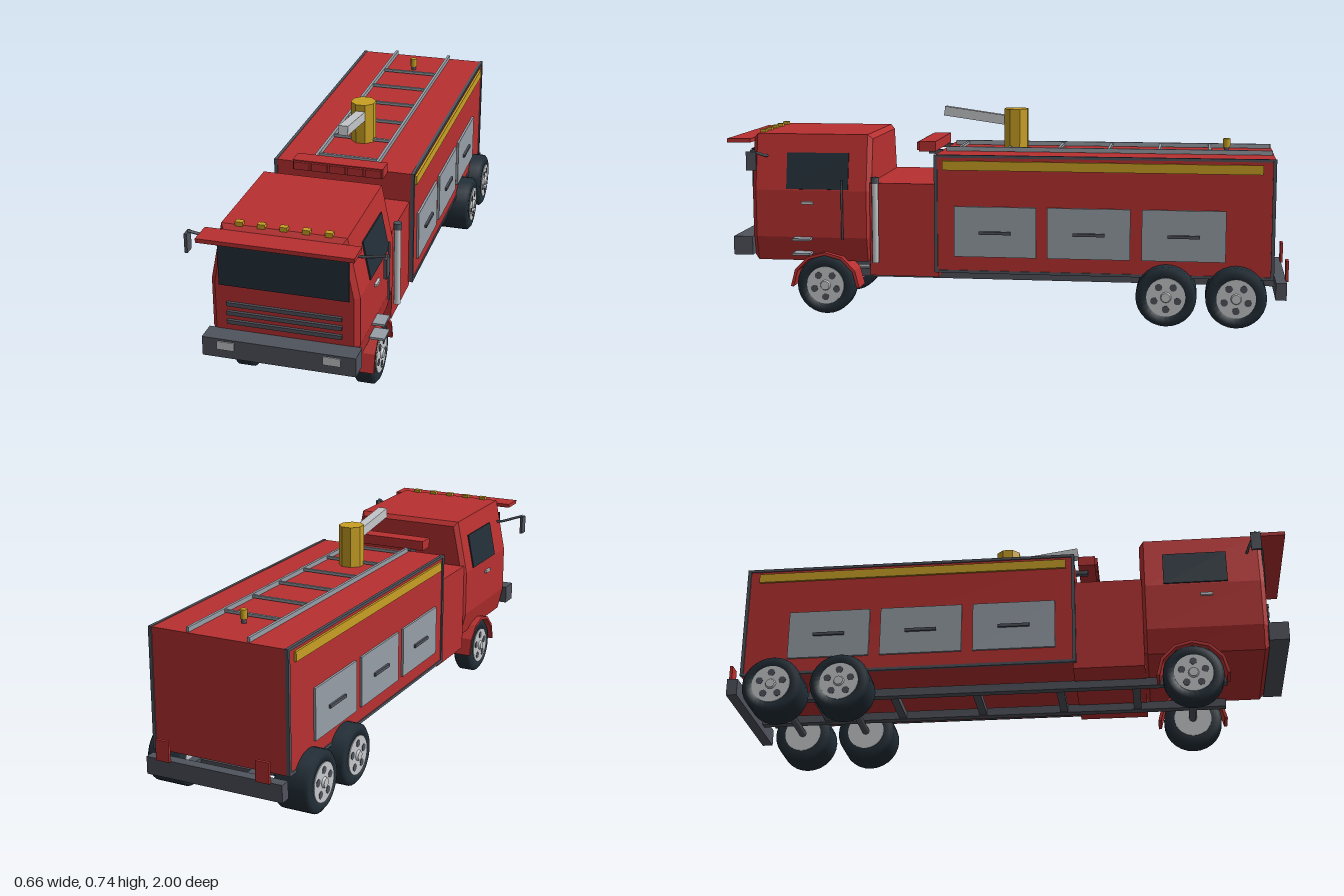
import * as THREE from 'three';

const mat = (name, color, side = THREE.FrontSide) => {
  const m = new THREE.MeshStandardMaterial({ color, side });
  m.name = name;
  return m;
};

export function createModel() {
  const red = mat('red paint', 0xb83030);
  const dark = mat('dark grey trim', 0x4f535c);
  const black = mat('rubber and glass', 0x222e37);
  const gold = mat('amber', 0xc9a024);
  const light = mat('light metal', 0xc4c7ca);
  const grey = mat('shutter grey', 0x979fa7);

  const truck = new THREE.Group();
  truck.name = 'fireTruck';

  const add = (name, geometry, material, parent = truck) => {
    const m = new THREE.Mesh(geometry, material);
    m.name = name;
    parent.add(m);
    return m;
  };
  // Box given by its extents on each axis
  const box = (name, material, [x0, x1], [y0, y1], [z0, z1], parent = truck) => {
    const m = add(name, new THREE.BoxGeometry(x1 - x0, y1 - y0, z1 - z0), material, parent);
    m.position.set((x0 + x1) / 2, (y0 + y1) / 2, (z0 + z1) / 2);
    return m;
  };
  // Box mirrored onto both sides
  const pair = (name, material, [x0, x1], y, z) => {
    box(name + 'Left', material, [x0, x1], y, z);
    box(name + 'Right', material, [-x1, -x0], y, z);
  };
  // Rod between two points
  const rod = (name, material, a, b, r) => {
    const p = new THREE.Vector3(...a), q = new THREE.Vector3(...b);
    const m = add(name, new THREE.CylinderGeometry(r, r, p.distanceTo(q), 8), material);
    m.position.copy(p).add(q).multiplyScalar(0.5);
    m.quaternion.setFromUnitVectors(new THREE.Vector3(0, 1, 0), q.sub(p).normalize());
    return m;
  };

  // Cab: bevelled extrusion with upper sides leaning in
  const section = new THREE.Shape([[-0.225, 0.192], [0.225, 0.192], [0.245, 0.28], [0.245, 0.45],
    [0.205, 0.65], [-0.205, 0.65], [-0.245, 0.45], [-0.245, 0.28]].map(p => new THREE.Vector2(...p)));
  const cab = add('cab', new THREE.ExtrudeGeometry(section, {
    depth: 0.405, bevelSize: 0.016, bevelOffset: -0.016, bevelThickness: 0.016, bevelSegments: 1,
  }), red);
  cab.position.z = 0.496;

  // Cab front
  box('windshield', black, [-0.215, 0.215], [0.44, 0.597], [0.916, 0.922]);
  for (const y of [0.311, 0.343, 0.375]) box('grilleBar', dark, [-0.191, 0.191], [y - 0.007, y + 0.007], [0.91, 0.927]);
  box('sunVisor', red, [-0.255, 0.255], [0.621, 0.635], [0.915, 1]);
  box('frontBumper', dark, [-0.255, 0.255], [0.213, 0.28], [0.915, 0.985]);
  pair('headlight', light, [0.147, 0.205], [0.243, 0.272], [0.98, 0.989]);
  for (let i = -2; i <= 2; i++) {
    box('roofMarker', gold, [i * 0.073 - 0.0125, i * 0.073 + 0.0125], [0.646, 0.661], [0.885, 0.905]);
  }

  // Cab sides: tilted windows, handles and mirrors
  for (const s of [-1, 1]) {
    const win = add('sideWindow', new THREE.BoxGeometry(0.006, 0.132, 0.226), black);
    win.position.set(s * 0.233, 0.519, 0.675);
    win.rotation.z = s * Math.atan(0.2);
    box('doorHandle', light, [s * 0.249 - 0.005, s * 0.249 + 0.005], [0.4, 0.41], [0.69, 0.733]);
    rod('mirrorArm', dark, [s * 0.225, 0.572, 0.862], [s * 0.255, 0.576, 0.868], 0.005);
    rod('mirrorArm', dark, [s * 0.252, 0.576, 0.867], [s * 0.325, 0.6, 0.89], 0.005);
    box('mirror', dark, [s * 0.326 - 0.005, s * 0.326 + 0.005], [0.53, 0.597], [0.872, 0.908]);
  }

  // Steps, grab rail and exhaust on one side only
  for (const y of [0.224, 0.277]) box('step', grey, [0.235, 0.287], [y - 0.004, y + 0.004], [0.695, 0.76]);
  rod('grabRail', dark, [0.254, 0.275, 0.583], [0.254, 0.49, 0.583], 0.004);
  rod('exhaustStack', light, [0.252, 0.195, 0.462], [0.252, 0.485, 0.462], 0.012);
  rod('exhaustCap', dark, [0.252, 0.48, 0.462], [0.252, 0.503, 0.462], 0.015);

  // Pump section and equipment body with edge trim
  box('pumpSection', red, [-0.238, 0.238], [0.145, 0.48], [0.235, 0.485]);
  box('equipmentBody', red, [-0.25, 0.25], [0.165, 0.585], [-0.945, 0.245]);
  for (const z of [-0.942, 0.242]) {
    pair('cornerTrim', dark, [0.243, 0.255], [0.165, 0.587], [z - 0.006, z + 0.006]);
  }
  for (const y of [0.169, 0.582]) {
    pair('edgeTrim', dark, [0.243, 0.254], [y - 0.005, y + 0.005], [-0.945, 0.245]);
  }
  pair('sideStripe', gold, [0.249, 0.258], [0.533, 0.566], [-0.903, 0.217]);
  for (const z of [0.03, -0.302, -0.634]) {
    pair('locker', grey, [0.249, 0.258], [0.224, 0.404], [z - 0.146, z + 0.146]);
    pair('lockerHandle', dark, [0.256, 0.266], [0.306, 0.317], [z - 0.056, z + 0.056]);
  }

  // Roof ladder
  pair('ladderRail', grey, [0.106, 0.116], [0.586, 0.602], [-0.94, 0.225]);
  for (let i = 0; i < 6; i++) {
    const z = 0.18 - i * 0.18;
    box('ladderRung', grey, [-0.11, 0.11], [0.589, 0.599], [z - 0.005, z + 0.005]);
  }

  // Warning light bar
  box('lightBar', red, [-0.162, 0.162], [0.588, 0.624], [0.257, 0.318]);
  for (let i = -2; i <= 2; i++) {
    box('lightBarLens', red, [i * 0.064 - 0.028, i * 0.064 + 0.028], [0.592, 0.62], [0.31, 0.327]);
  }
  pair('lightBarMount', dark, [0.1, 0.12], [0.575, 0.59], [0.24, 0.29]);

  // Water cannon and rear beacon
  const turret = add('cannonBase', new THREE.CylinderGeometry(0.046, 0.046, 0.15, 8).toNonIndexed(), gold);
  turret.geometry.computeVertexNormals();
  turret.geometry.rotateY(Math.PI / 8);
  turret.position.set(0, 0.658, -0.015);
  const barrel = add('cannonBarrel', new THREE.BoxGeometry(0.034, 0.034, 0.25), light);
  barrel.position.set(0, 0.705, 0.125);
  barrel.rotation.x = -0.14;
  rod('beaconBase', dark, [0, 0.585, -0.78], [0, 0.602, -0.78], 0.009);
  rod('beacon', gold, [0, 0.6, -0.78], [0, 0.632, -0.78], 0.013);

  // Chassis and rear bumper
  pair('chassisRail', dark, [0.095, 0.125], [0.118, 0.148], [-0.96, 0.77]);
  for (const z of [-0.9, -0.7, -0.42, -0.12, 0.18, 0.45]) {
    box('crossMember', dark, [-0.1, 0.1], [0.121, 0.145], [z - 0.014, z + 0.014]);
  }
  box('rearBumper', dark, [-0.252, 0.252], [0.094, 0.155], [-0.993, -0.955]);
  pair('tailLight', red, [0.16, 0.21], [0.152, 0.225], [-1, -0.99]);

  // Wheels: tyre lathe, rim dish with five dark openings and a hub
  const tyreShape = (w) => new THREE.LatheGeometry([[0.066, -w / 2], [0.094, -w / 2], [0.106, -w / 2 + 0.01],
    [0.106, w / 2 - 0.01], [0.094, w / 2], [0.066, w / 2], [0.064, w / 2 - 0.02]]
    .map(p => new THREE.Vector2(...p)), 28);
  const wheel = (s, z, inner, outer) => {
    const g = new THREE.Group();
    g.name = 'wheel';
    const w = outer - inner;
    add('tyre', tyreShape(w), black, g);
    const rim = add('rim', new THREE.CylinderGeometry(0.068, 0.068, w + 0.006, 28), light, g);
    rim.position.y = 0;
    for (let i = 0; i < 5; i++) {
      const a = i * Math.PI * 2 / 5;
      const hole = add('rimOpening', new THREE.CylinderGeometry(0.013, 0.013, 0.003, 10), dark, g);
      hole.position.set(Math.cos(a) * 0.043, w / 2 + 0.003, Math.sin(a) * 0.043);
    }
    const hub = add('hub', new THREE.CylinderGeometry(0.016, 0.02, 0.01, 12), light, g);
    hub.position.y = w / 2 + 0.006;
    g.rotation.z = -s * Math.PI / 2;
    g.position.set(s * (inner + outer) / 2, 0.106, z);
    truck.add(g);
  };

  // Faceted fender arch over each front wheel
  const arch = [];
  const n = 6;
  for (let i = 0; i <= n; i++) arch.push([0.127, Math.PI * i / n]);
  for (let i = n; i >= 0; i--) arch.push([0.116, Math.PI * i / n]);
  const archShape = new THREE.Shape(arch.map(([r, a]) => new THREE.Vector2(Math.cos(a) * r, Math.sin(a) * r)));
  const archGeometry = new THREE.ExtrudeGeometry(archShape, { depth: 0.09, bevelEnabled: false });
  archGeometry.rotateY(Math.PI / 2);

  for (const s of [-1, 1]) {
    wheel(s, 0.65, 0.175, 0.246);
    wheel(s, -0.576, 0.175, 0.304);
    wheel(s, -0.818, 0.175, 0.304);
    const fender = add('frontFender', archGeometry, red);
    fender.position.set(s > 0 ? 0.165 : -0.255, 0.1, 0.65);
  }
  for (const z of [0.65, -0.576, -0.818]) rod('axle', dark, [-0.18, 0.106, z], [0.18, 0.106, z], 0.014);

  return truck;
}
